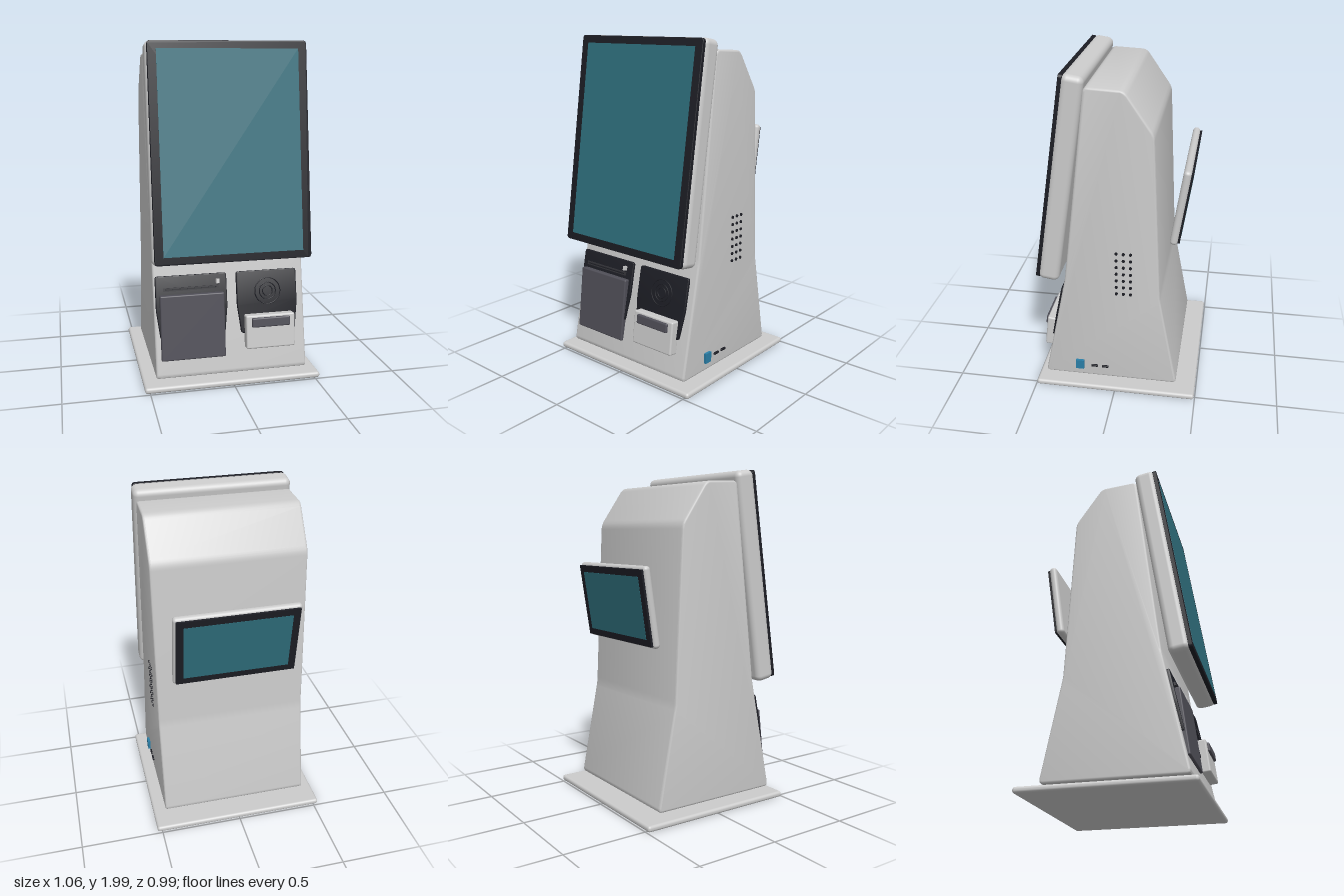
import * as THREE from 'three';
import { RoundedBoxGeometry } from 'three/addons/geometries/RoundedBoxGeometry.js';
import { toCreasedNormals } from 'three/addons/utils/BufferGeometryUtils.js';

const mat = (color) => new THREE.MeshStandardMaterial({ color });
const grey = mat(0xcccccc), black = mat(0x1c1d24), teal = mat(0x2f6f7c);
const slate = mat(0x504f58), blue = mat(0x2a7fa8), dark = mat(0x333338);

function add(parent, name, geometry, material, x = 0, y = 0, z = 0) {
  const mesh = new THREE.Mesh(geometry, material);
  mesh.name = name;
  mesh.position.set(x, y, z);
  parent.add(mesh);
  return mesh;
}
const box = (w, h, d) => new THREE.BoxGeometry(w, h, d);
const rbox = (w, h, d, r) => new RoundedBoxGeometry(w, h, d, 4, r);

function tilted(parent, name, y, z, angle) {
  const g = new THREE.Group();
  g.name = name;
  g.position.set(0, y, z);
  g.rotation.x = angle;
  parent.add(g);
  return g;
}

// Closed outline with every corner softened by radius r
function softShape(points, r) {
  const shape = new THREE.Shape();
  const p = points.map(([x, y]) => new THREE.Vector2(x, y));
  p.forEach((c, i) => {
    const toward = (o) => c.clone().add(o.clone().sub(c).setLength(r));
    const a = toward(p[(i + p.length - 1) % p.length]);
    const b = toward(p[(i + 1) % p.length]);
    if (i === 0) shape.moveTo(a.x, a.y); else shape.lineTo(a.x, a.y);
    shape.quadraticCurveTo(c.x, c.y, b.x, b.y);
  });
  shape.closePath();
  return shape;
}

function extrude(shape, depth, bevel) {
  const g = new THREE.ExtrudeGeometry(shape, {
    depth: depth - 2 * bevel, curveSegments: 5, bevelEnabled: true, bevelSegments: 3,
    bevelSize: bevel, bevelThickness: bevel, bevelOffset: -bevel,
  });
  g.translate(0, 0, bevel - depth / 2);
  return toCreasedNormals(g, 0.6);
}

export function createModel() {
  const model = new THREE.Group();
  model.name = 'selfServiceKiosk';

  // Floor plate
  add(model, 'basePlate', rbox(1.06, 0.036, 0.99, 0.016), grey, 0, 0.018, 0);

  // Cabinet: side profile in (z, y), extruded across the width
  const profile = [[0.447, 0.06], [0.305, 0.75], [0.165, 1.93], [-0.055, 1.92],
    [-0.217, 1.685], [-0.265, 0.66], [-0.38, 0.06]];
  const cabinet = extrude(softShape(profile, 0.03), 0.912, 0.012);
  cabinet.rotateY(-Math.PI / 2);
  add(model, 'cabinet', cabinet, grey);

  // Main touch screen
  const screen = tilted(model, 'mainScreen', 1.366, 0.31, -0.151);
  add(screen, 'mainScreenHousing', rbox(0.942, 1.262, 0.125, 0.035), grey);
  add(screen, 'mainScreenBezel', extrude(softShape(
    [[-0.46, -0.625], [0.46, -0.625], [0.46, 0.625], [-0.46, 0.625]], 0.02), 0.024, 0.003), black, 0, 0, 0.064);
  add(screen, 'mainScreenDisplay', box(0.82, 1.16, 0.002), teal, 0, 0, 0.0765);

  // Small rear screen
  const rear = tilted(model, 'rearScreen', 1.22, -0.36, -0.151);
  add(rear, 'rearScreenHousing', rbox(0.744, 0.47, 0.046, 0.021), grey);
  add(rear, 'rearScreenBezel', box(0.715, 0.44, 0.016), black, 0, 0, -0.027);
  add(rear, 'rearScreenDisplay', box(0.63, 0.36, 0.002), teal, 0, 0, -0.0355);

  // Equipment on the sloping lower front
  const front = tilted(model, 'frontEquipment', 0.4, 0.376, -0.203);
  const panel = (name, x, w) => {
    const h = w / 2;
    const outline = [[-h + 0.02, -0.11], [h - 0.02, -0.11], [h - 0.012, -0.04], [h, 0.06],
      [h, 0.257], [-h, 0.257], [-h, 0.06], [-h + 0.012, -0.04]];
    add(front, name, extrude(softShape(outline, 0.015), 0.03, 0.004), black, x, 0, 0.002);
  };

  // Receipt printer
  panel('printerPanel', -0.232, 0.425);
  add(front, 'printerSlot', box(0.33, 0.02, 0.02), dark, -0.235, 0.178, 0.017);
  add(front, 'printerSlotOpening', box(0.31, 0.006, 0.022), black, -0.235, 0.178, 0.018);
  add(front, 'printerLight', box(0.018, 0.026, 0.03), grey, -0.076, 0.212, 0.022);
  const flap = add(front, 'printerCover', rbox(0.382, 0.385, 0.05, 0.008), slate, -0.232, -0.045, 0.008);
  flap.rotation.x = 0.085;

  // Speaker and card reader
  panel('readerPanel', 0.225, 0.37);
  for (const r of [0.03, 0.05, 0.078]) {
    add(front, 'speakerRing', new THREE.TorusGeometry(r, 0.003, 6, 40), black, 0.228, 0.133, 0.018);
  }
  const reader = tilted(front, 'cardReader', -0.1, 0.03, 0.085);
  add(reader, 'cardReaderBody', rbox(0.298, 0.2, 0.062, 0.01), grey, 0.228, 0, 0);
  add(reader, 'cardReaderSlot', rbox(0.232, 0.056, 0.03, 0.008), slate, 0.228, 0.058, 0.03);

  // Vent holes on the left side
  for (let row = 0; row < 7; row++) {
    for (let col = 0; col < 3; col++) {
      const hole = add(model, 'ventHole', new THREE.CylinderGeometry(0.009, 0.009, 0.012, 10), black,
        0.457, 0.685 + row * 0.045, -0.007 - col * 0.042);
      hole.rotation.z = Math.PI / 2;
    }
  }

  // Power switch and ports
  add(model, 'powerSwitch', box(0.022, 0.062, 0.05), blue, 0.461, 0.143, 0.226);
  for (const z of [0.135, 0.068]) {
    add(model, 'port', rbox(0.016, 0.015, 0.042, 0.005), black, 0.458, 0.138, z);
  }
  return model;
}
